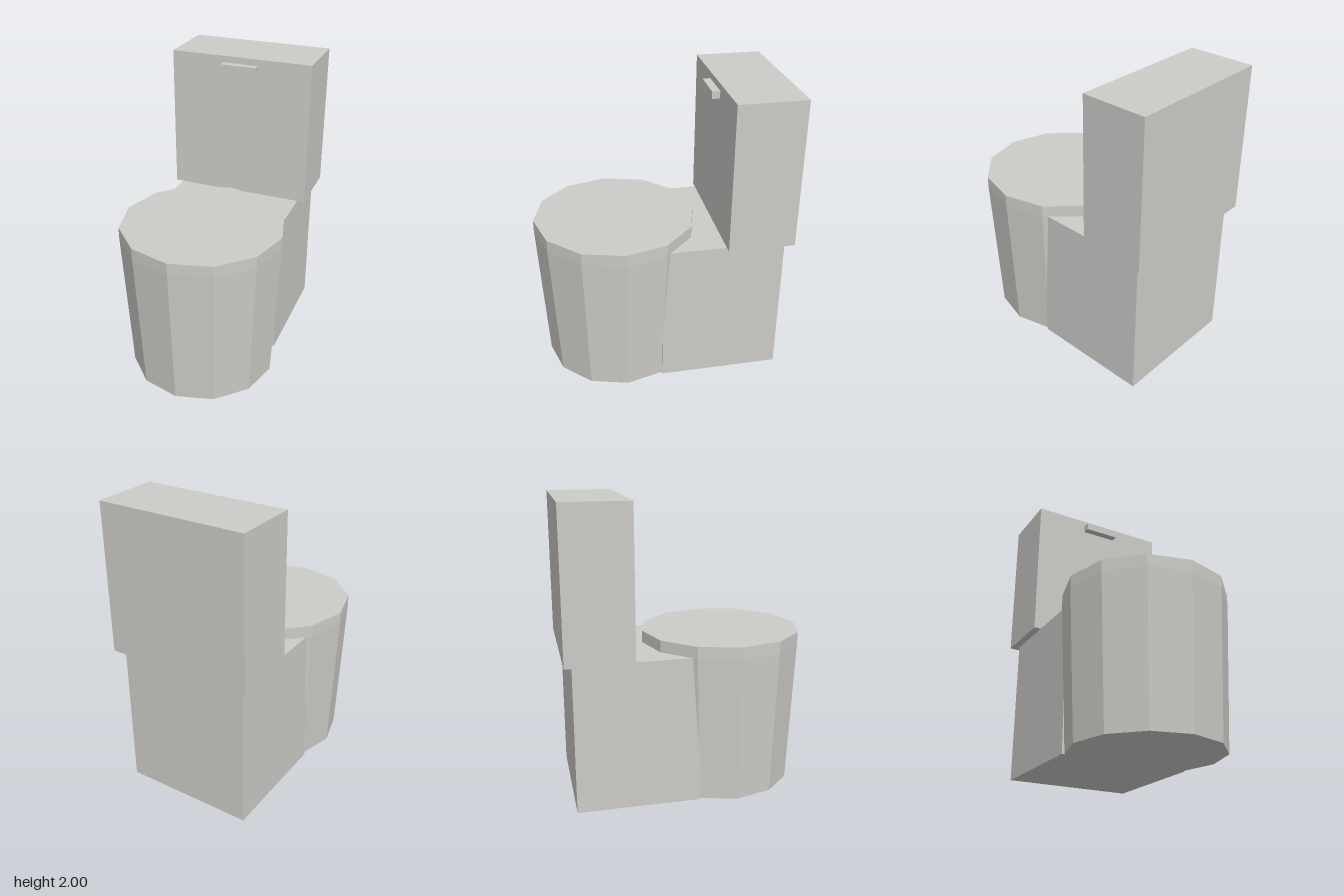
import * as THREE from 'three';

export function createModel() {
  const model = new THREE.Group();
  const ceramic = new THREE.MeshStandardMaterial({ color: 0xcccbc7, flatShading: true });
  ceramic.name = 'ceramic';

  const add = (name, geometry, x, y, z) => {
    const mesh = new THREE.Mesh(geometry, ceramic);
    mesh.name = name;
    mesh.position.set(x, y, z);
    model.add(mesh);
  };

  // Twelve-sided bowl, flaring upward, with a straight-sided lid
  add('bowl', new THREE.CylinderGeometry(0.55, 0.5, 1, 12), 0, 0.5, 0.286);
  add('lid', new THREE.CylinderGeometry(0.55, 0.55, 0.08, 12), 0, 1.04, 0.286);

  // Pedestal block running back from the bowl
  add('base', new THREE.BoxGeometry(0.9, 1, 0.82), 0, 0.5, -0.375);

  // Water tank with its flush handle
  add('tank', new THREE.BoxGeometry(1, 1, 0.446), 0, 1.5, -0.613);
  add('flushHandle', new THREE.BoxGeometry(0.25, 0.05, 0.055), 0, 1.93, -0.3645);

  return model;
}
